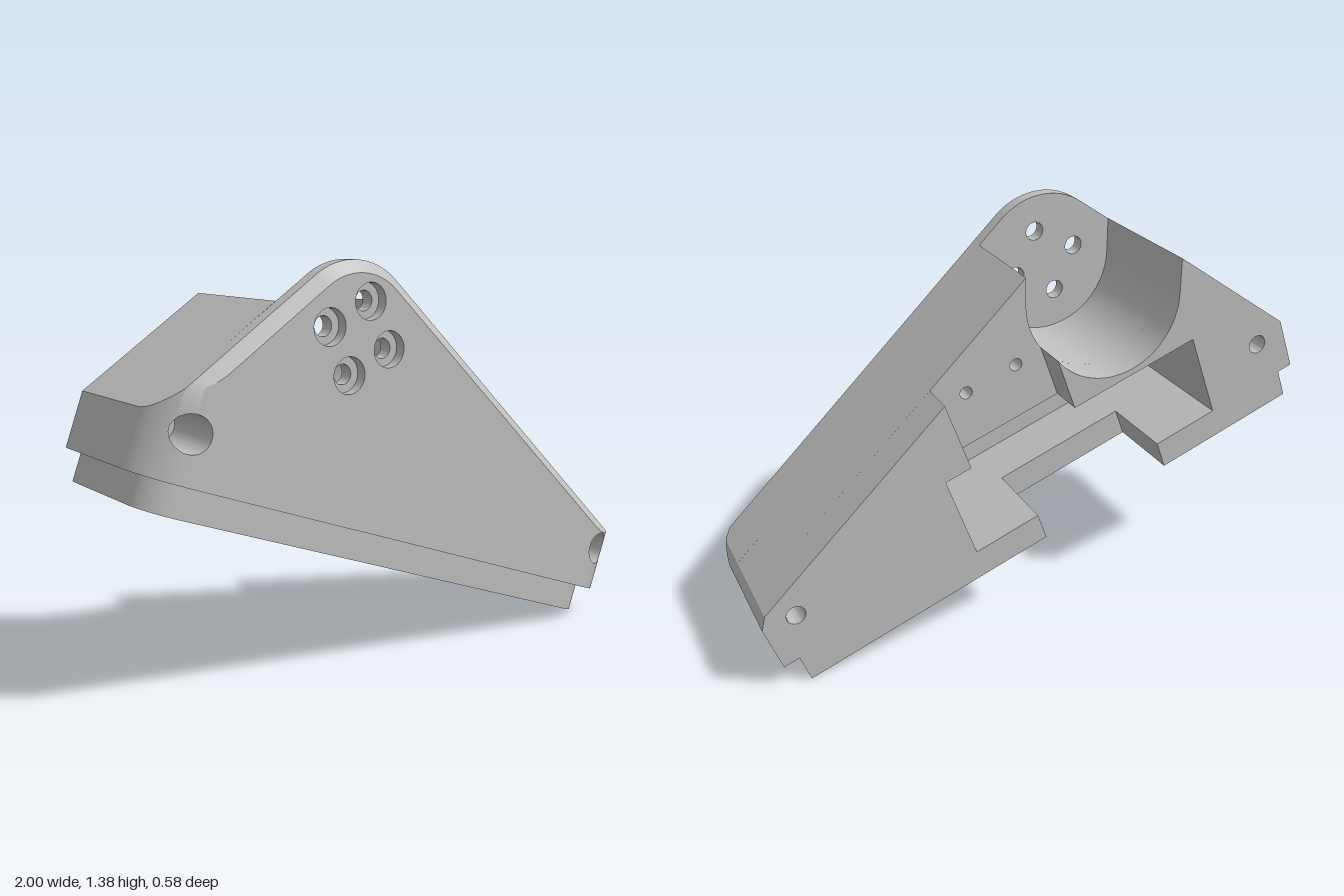
import * as THREE from 'three';
import { toCreasedNormals } from 'three/addons/utils/BufferGeometryUtils.js';

// Everything is laid out in the bracket's own frame (u along the base, v up) and tilted at the end.
const TILT = THREE.MathUtils.degToRad(20);
const BACK = -0.29, FRONT = 0.29, CHAMFER = 0.04, BASE = 0.394;
const U0 = -1.205, U1 = 0.857, FILLET = 0.175;
const M0 = U0 + FILLET, M1 = U1 - FILLET; // flat middle between the rounded ends
const C = [-0.62, 0.983], R = 0.245, BORE = 0.255; // motor centre, nose radius, bore radius
const SCREW = 0.033, HEAD = 0.06;

const leftTop = u => 0.584 + 1.409 * (u - U0);
const rightTop = u => 1.207 - 0.443 * (u + 0.521);
const bevelTop = u => 0.565 + 1.52 * (U1 - u);
const top = u => Math.min(leftTop(u), rightTop(u), bevelTop(u));

function arc(c, r, fromDeg, toDeg, n) {
  return Array.from({ length: n + 1 }, (_, i) => {
    const a = THREE.MathUtils.degToRad(fromDeg + (toDeg - fromDeg) * i / n);
    return [c[0] + r * Math.cos(a), c[1] + r * Math.sin(a)];
  });
}

function shapeOf(points, holes = []) {
  const shape = new THREE.Shape(points.map(p => new THREE.Vector2(...p)));
  for (const [u, v, r] of holes) {
    shape.holes.push(new THREE.Path().absarc(u, v, r, 0, Math.PI * 2, true));
  }
  return shape;
}

function slab(points, z0, z1, holes) {
  const geo = new THREE.ExtrudeGeometry(shapeOf(points, holes), {
    depth: z1 - z0, bevelEnabled: false, curveSegments: 16,
  });
  return toCreasedNormals(geo.translate(0, 0, z0), 0.5);
}

function quads(list) {
  const pos = [];
  for (const [a, b, c, d] of list) pos.push(...a, ...b, ...c, ...a, ...c, ...d);
  const geo = new THREE.BufferGeometry();
  geo.setAttribute('position', new THREE.Float32BufferAttribute(pos, 3));
  return toCreasedNormals(geo, 0.5);
}

export function createModel() {
  const plastic = new THREE.MeshStandardMaterial({ color: 0xbfbfbf, side: THREE.DoubleSide });
  plastic.name = 'grey plastic';
  const bracket = new THREE.Group();
  bracket.name = 'motorBracket';
  const add = (name, geo) => {
    const mesh = new THREE.Mesh(geo, plastic);
    mesh.name = name;
    bracket.add(mesh);
    return mesh;
  };

  // Rear layer, split by the pocket, the cable channel and the bore
  const boreLeft = [-0.902, 1.011], boreRight = [-0.412, 1.159];
  add('rearLeftWall', slab([
    [M0, BASE], [M0, top(M0)], boreLeft, ...arc(C, BORE, 200, 341.7, 28),
    [-0.378, 0.707], [-0.86, 0.707], [-0.86, BASE],
  ], BACK, -0.165));
  add('rearRightWall', slab([
    [0.122, BASE], [0.122, 0.707], [0.025, 0.707], [0.025, top(0.025)],
    [M1, top(M1)], [M1, BASE],
  ], BACK, -0.165));

  // Core with the motor bore above and the pocket below
  add('core', slab([
    [M0, BASE], [M0, top(M0)], boreLeft, ...arc(C, BORE, 200, 380, 36), boreRight,
    [M1, top(M1)], [M1, BASE], [0.122, BASE], [0.122, 0.707], [-0.86, 0.707], [-0.86, BASE],
  ], -0.165, 0.2, [[-0.084, 0.89, 0.022], [-0.277, 0.89, 0.022]]));

  // Front plate with four motor screw holes
  const motorHoles = [[0, 0.122], [-0.122, 0], [0, -0.122], [0.122, 0]]
    .map(([u, v]) => [C[0] + u, C[1] + v]);
  const withRadius = r => motorHoles.map(([u, v]) => [u, v, r]);
  const outer = [[M0, top(M0)], ...arc(C, R, 144.6, 66.1, 20), [M1, top(M1)]];
  const inner = [
    [M0, top(M0) - CHAMFER / 0.579], ...arc(C, R - CHAMFER, 144.6, 66.1, 20),
    [M1, top(M1) - CHAMFER / 0.914],
  ];
  const edgeZ = FRONT - CHAMFER;
  add('frontPlate', slab([[M0, BASE], ...outer, [M1, BASE]], 0.2, edgeZ, withRadius(SCREW)));
  add('frontFace', new THREE.ShapeGeometry(
    shapeOf([[M0, BASE], ...inner, [M1, BASE]], withRadius(HEAD)), 16).translate(0, 0, FRONT));
  const rim = [[[M0, BASE, edgeZ], [M1, BASE, edgeZ], [M1, BASE, FRONT], [M0, BASE, FRONT]]];
  for (let i = 0; i < outer.length - 1; i++) {
    rim.push([[...outer[i + 1], edgeZ], [...outer[i], edgeZ],
      [...inner[i], FRONT], [...inner[i + 1], FRONT]]);
  }
  add('chamferedRim', quads(rim));
  motorHoles.forEach(([u, v]) => {
    const wall = new THREE.CylinderGeometry(HEAD, HEAD, CHAMFER, 32, 1, true).rotateX(Math.PI / 2);
    add('motorScrewRecess', wall.translate(u, v, FRONT - CHAMFER / 2));
  });

  // Rounded ends, each with a deep counterbored mounting hole
  function roundedEnd(name, side, inside, end, hole, slopeCos, topPoints) {
    const floor = 0.05;
    add(name + 'Block', slab([[inside, BASE], [inside, top(inside)], ...topPoints, [end, BASE]],
      BACK, floor, [[...hole, SCREW]]));
    const us = [];
    for (let i = 0; i <= 16; i++) us.push(inside + side * FILLET * Math.sin(i / 16 * Math.PI / 2));
    for (let i = 0; i <= 16; i++) us.push(hole[0] + HEAD * Math.cos(i / 16 * Math.PI));
    us.sort((a, b) => a - b);
    const columns = us.map(u => {
      const z = FRONT - FILLET + Math.sqrt(Math.max(0, FILLET ** 2 - (u - inside) ** 2));
      const h = Math.sqrt(Math.max(0, HEAD ** 2 - (u - hole[0]) ** 2));
      const t = top(u), d = Math.max(0, z - edgeZ);
      return {
        inHole: Math.abs(u - hole[0]) < HEAD + 1e-6,
        base: [u, BASE, z], low: [u, hole[1] - h, z], high: [u, hole[1] + h, z],
        ridge: [u, t - d / slopeCos, z], edge: [u, t, Math.min(z, edgeZ)],
      };
    });
    const down = p => [p[0], p[1], floor];
    const faces = [];
    for (let i = 0; i < columns.length - 1; i++) {
      const a = columns[i], b = columns[i + 1];
      if (b.base[0] - a.base[0] < 1e-6) continue;
      faces.push([a.base, b.base, b.low, a.low], [a.high, b.high, b.ridge, a.ridge],
        [a.ridge, b.ridge, b.edge, a.edge], [a.edge, b.edge, down(b.edge), down(a.edge)],
        [down(a.base), down(b.base), b.base, a.base]);
      if (a.inHole && b.inHole) {
        faces.push([a.low, b.low, down(b.low), down(a.low)],
          [down(a.high), down(b.high), b.high, a.high]);
      }
    }
    const tip = side > 0 ? columns[columns.length - 1] : columns[0];
    const endWall = [down(tip.base), down(tip.edge), tip.edge, tip.base];
    faces.push(side > 0 ? endWall : endWall.reverse());
    add(name + 'Fillet', quads(faces));
  }
  roundedEnd('rightEnd', -1, M0, U0, [-1.094, 0.549], 0.579, [[U0, top(U0)]]);
  roundedEnd('leftEnd', 1, M1, U1, [0.741, 0.552], 0.914, [[0.828, top(0.828)], [U1, top(U1)]]);

  // Inset lip under the body, notched at the back; drawn in plan with z downwards
  const lipR = 0.12, lipFront = 0.235, L0 = -1.15, L1 = 0.8;
  const lip = slab([
    [L0, -BACK],
    ...arc([L0 + lipR, lipR - lipFront], lipR, 180, 270, 12),
    ...arc([L1 - lipR, lipR - lipFront], lipR, 270, 360, 12),
    [L1, -BACK], [-0.123, -BACK], [-0.123, 0], [-0.62, 0], [-0.62, -BACK],
  ], 0, BASE - 0.293);
  add('baseLip', lip.rotateX(-Math.PI / 2).translate(0, 0.293, 0));

  bracket.rotation.z = -TILT;
  const model = new THREE.Group();
  model.name = 'model';
  model.add(bracket);
  return model;
}
